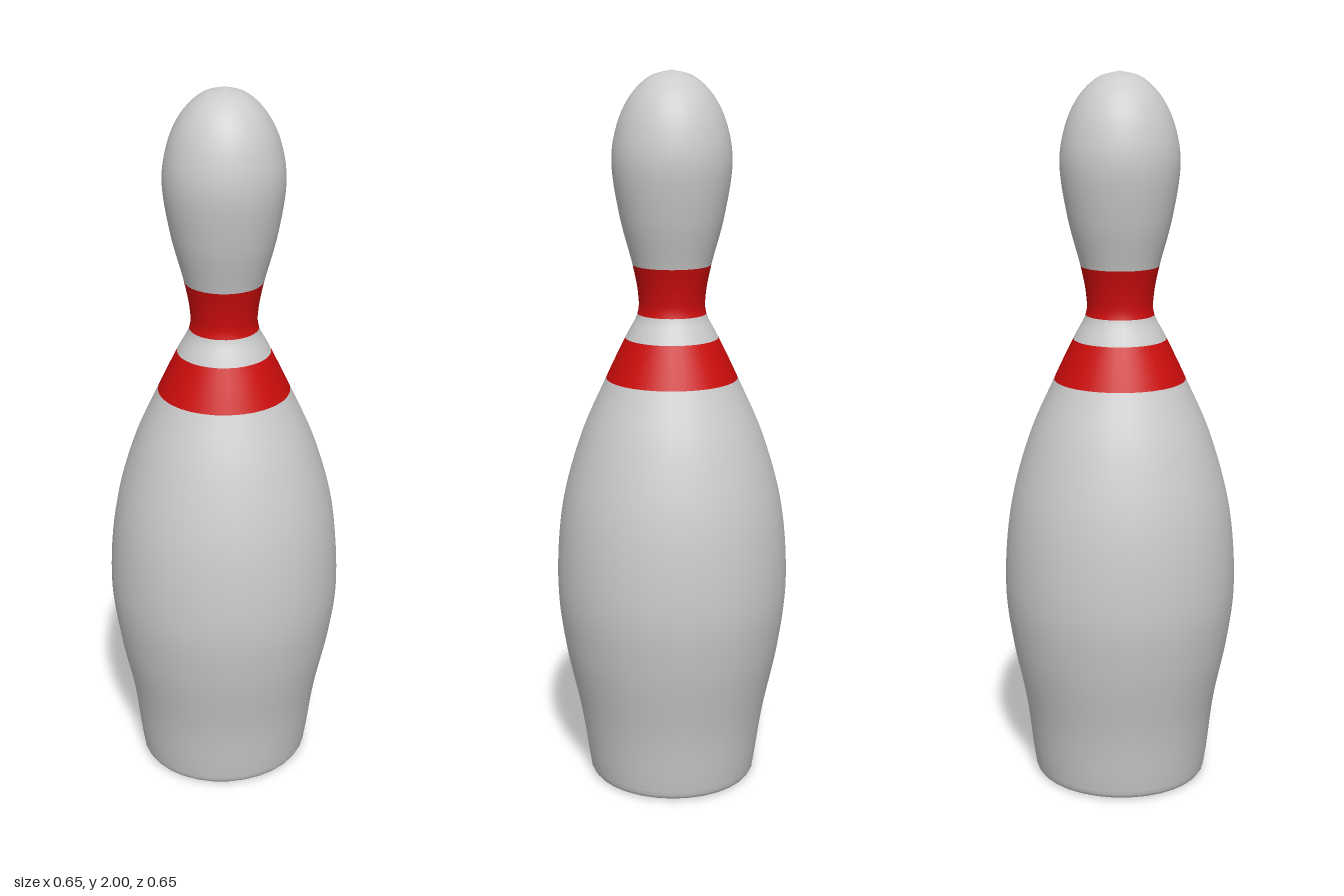
import * as THREE from 'three';

const SEGMENTS = 32;

// Silhouette control points: radius, height
const body = new THREE.SplineCurve([
  [0.238, 0.03], [0.243, 0.06], [0.265, 0.2], [0.307, 0.4], [0.326, 0.58], [0.309, 0.8],
  [0.255, 1.0], [0.183, 1.165], [0.128, 1.28], [0.095, 1.345], [0.093, 1.4],
  [0.108, 1.48], [0.142, 1.61], [0.163, 1.75], [0.15, 1.85], [0.114, 1.93], [0.06, 1.983], [0, 2],
].map(([r, y]) => new THREE.Vector2(r, y)));
const silhouette = body.getPoints(170);

// Radius of the silhouette at a given height
function radiusAt(y) {
  const i = Math.max(1, silhouette.findIndex((p) => p.y >= y));
  const a = silhouette[i - 1], b = silhouette[i];
  return a.x + (b.x - a.x) * (y - a.y) / (b.y - a.y);
}

// Part of the silhouette between two heights
function slice(y0, y1) {
  const inner = silhouette.filter((p) => p.y > y0 + 0.003 && p.y < y1 - 0.003);
  return [new THREE.Vector2(radiusAt(y0), y0), ...inner, new THREE.Vector2(y1 === 2 ? 0 : radiusAt(y1), y1)];
}

function lathe(name, points, material) {
  const geometry = new THREE.LatheGeometry(points, SEGMENTS);
  // The foot is slightly deeper than wide
  const pos = geometry.attributes.position;
  for (let i = 0; i < pos.count; i++) {
    const foot = 1 - THREE.MathUtils.smoothstep(pos.getY(i), 0.03, 0.3);
    pos.setZ(i, pos.getZ(i) * (1 + 0.04 * foot));
  }
  const mesh = new THREE.Mesh(geometry, material);
  mesh.name = name;
  return mesh;
}

export function createModel() {
  const group = new THREE.Group();
  group.name = 'bowlingPin';
  const grey = new THREE.MeshStandardMaterial({ color: 0xcccccc });
  const red = new THREE.MeshStandardMaterial({ color: 0xcc0c0c });

  // Flat underside and rounded foot edge
  const v = (r, y) => new THREE.Vector2(r, y);
  group.add(lathe('underside', [v(0, 0), v(0.222, 0)], grey));
  group.add(lathe('footEdge', [v(0.222, 0), v(0.23, 0.004), v(0.236, 0.014), v(0.238, 0.03)], grey));

  // Body, neck bands and head
  group.add(lathe('belly', slice(0.03, 1.165), grey));
  group.add(lathe('lowerBand', slice(1.165, 1.278), red));
  group.add(lathe('neck', slice(1.278, 1.345), grey));
  group.add(lathe('upperBand', slice(1.345, 1.48), red));
  group.add(lathe('head', slice(1.48, 2), grey));
  return group;
}
